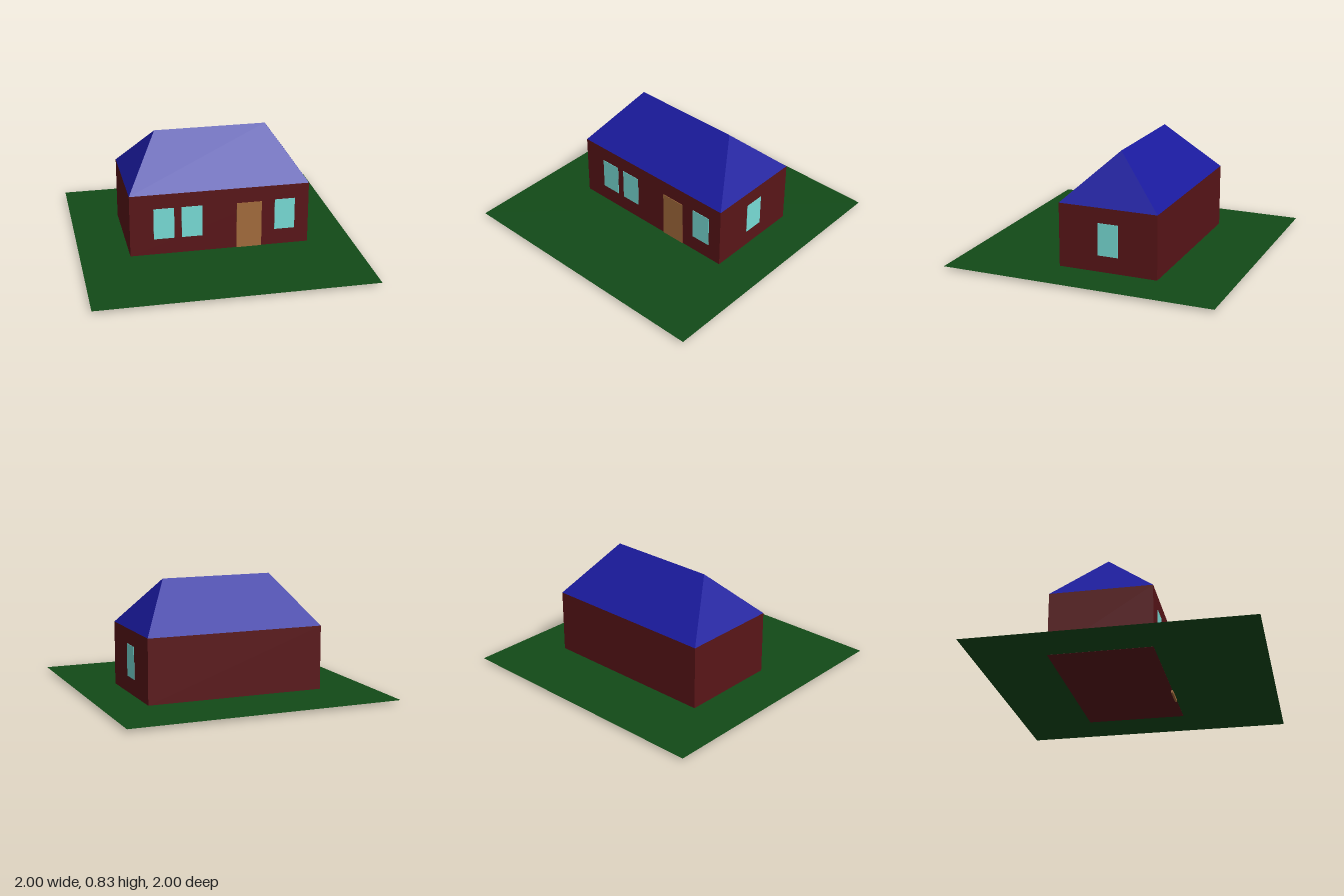
import * as THREE from 'three';

const paint = (color) => new THREE.MeshStandardMaterial({ color, flatShading: true });

// Main dimensions
const X0 = -0.64, X1 = 0.675, Z0 = -0.48, Z1 = 0.255;
const GROUND = 0.02, EAVES = 0.485, RIDGE = 0.835;
const RIDGE_X0 = -0.395, RIDGE_X1 = 0.43, RIDGE_Z = (Z0 + Z1) / 2;

// Box given by its lower and upper corners
function block(name, material, [x0, y0, z0], [x1, y1, z1]) {
  const mesh = new THREE.Mesh(new THREE.BoxGeometry(x1 - x0, y1 - y0, z1 - z0), material);
  mesh.position.set((x0 + x1) / 2, (y0 + y1) / 2, (z0 + z1) / 2);
  mesh.name = name;
  return mesh;
}

// Hipped roof: four eaves corners and two ridge ends
function hippedRoof() {
  const points = [
    X0, EAVES, Z1, X1, EAVES, Z1, X1, EAVES, Z0, X0, EAVES, Z0,
    RIDGE_X0, RIDGE, RIDGE_Z, RIDGE_X1, RIDGE, RIDGE_Z,
  ];
  const indexed = new THREE.BufferGeometry();
  indexed.setAttribute('position', new THREE.Float32BufferAttribute(points, 3));
  indexed.setIndex([
    0, 1, 5, 0, 5, 4, // front slope
    2, 3, 4, 2, 4, 5, // back slope
    1, 2, 5, 3, 0, 4, // hip ends
    0, 3, 2, 0, 2, 1, // underside
  ]);
  const geometry = indexed.toNonIndexed();
  geometry.computeVertexNormals();
  return geometry;
}

export function createModel() {
  const house = new THREE.Group();
  house.name = 'house';
  const glass = paint(0x78dcd6);

  // Lawn
  const lawnMaterial = paint(0x124a18);
  lawnMaterial.side = THREE.DoubleSide;
  const lawn = new THREE.Mesh(new THREE.PlaneGeometry(2, 2).rotateX(-Math.PI / 2), lawnMaterial);
  lawn.position.y = GROUND;
  lawn.name = 'lawn';
  house.add(lawn);

  // Walls and roof
  house.add(block('walls', paint(0x591518), [X0, GROUND - 0.001, Z0], [X1, EAVES, Z1]));
  const roof = new THREE.Mesh(hippedRoof(), paint(0x1a1a9e));
  roof.name = 'roof';
  house.add(roof);

  // Door, reaching slightly below the lawn
  house.add(block('door', paint(0xa36b3c), [0.14, 0, Z1 - 0.01], [0.325, 0.37, Z1 + 0.004]));

  // Front windows
  for (const x of [-0.468, -0.264, 0.422]) {
    house.add(block('frontWindow', glass, [x, 0.14, Z1 - 0.01], [x + 0.15, 0.375, Z1 + 0.003]));
  }

  // Window in the left end wall
  house.add(block('sideWindow', glass, [X1 - 0.01, 0.14, -0.19], [X1 + 0.003, 0.375, -0.04]));

  return house;
}
